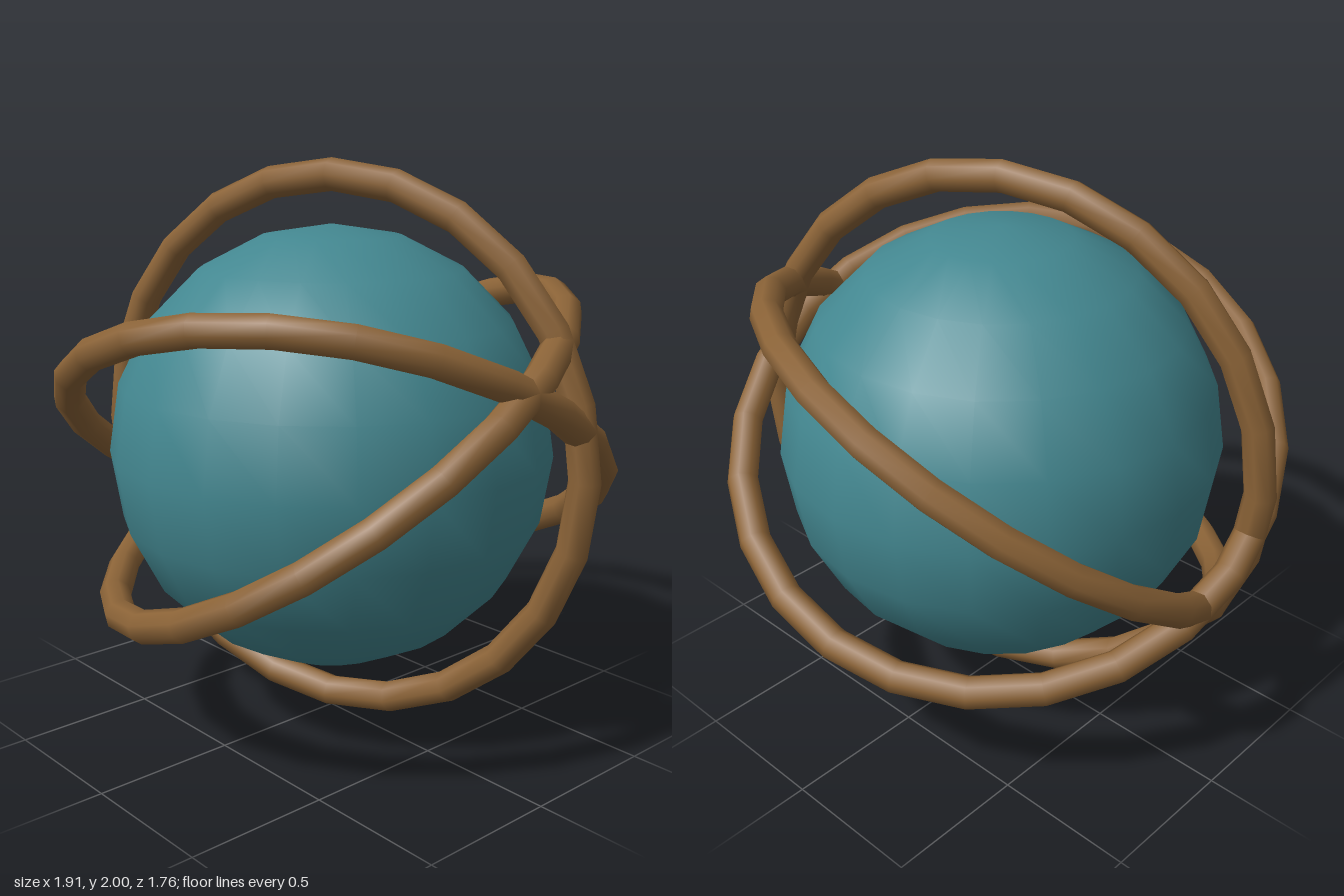
import * as THREE from 'three';

export function createModel() {
  const model = new THREE.Group();
  model.name = 'ringedSphere';

  const teal = new THREE.MeshStandardMaterial({ color: 0x438790 });
  teal.name = 'teal';
  const brown = new THREE.MeshStandardMaterial({ color: 0x8b6337 });
  brown.name = 'brown';

  // Central globe
  const globe = new THREE.Mesh(new THREE.SphereGeometry(0.778, 20, 10), teal);
  globe.name = 'globe';
  globe.position.y = 1;
  model.add(globe);

  // Three equal rings, yawed and then fanned around the x axis in 60 degree steps
  const ringGeometry = new THREE.TorusGeometry(0.942, 0.056, 8, 24);
  for (let i = 0; i < 3; i++) {
    const ring = new THREE.Mesh(ringGeometry, brown);
    ring.name = `ring${i + 1}`;
    ring.position.y = 1;
    ring.rotation.set((i * Math.PI) / 3, 0.3, 0);
    model.add(ring);
  }

  return model;
}
